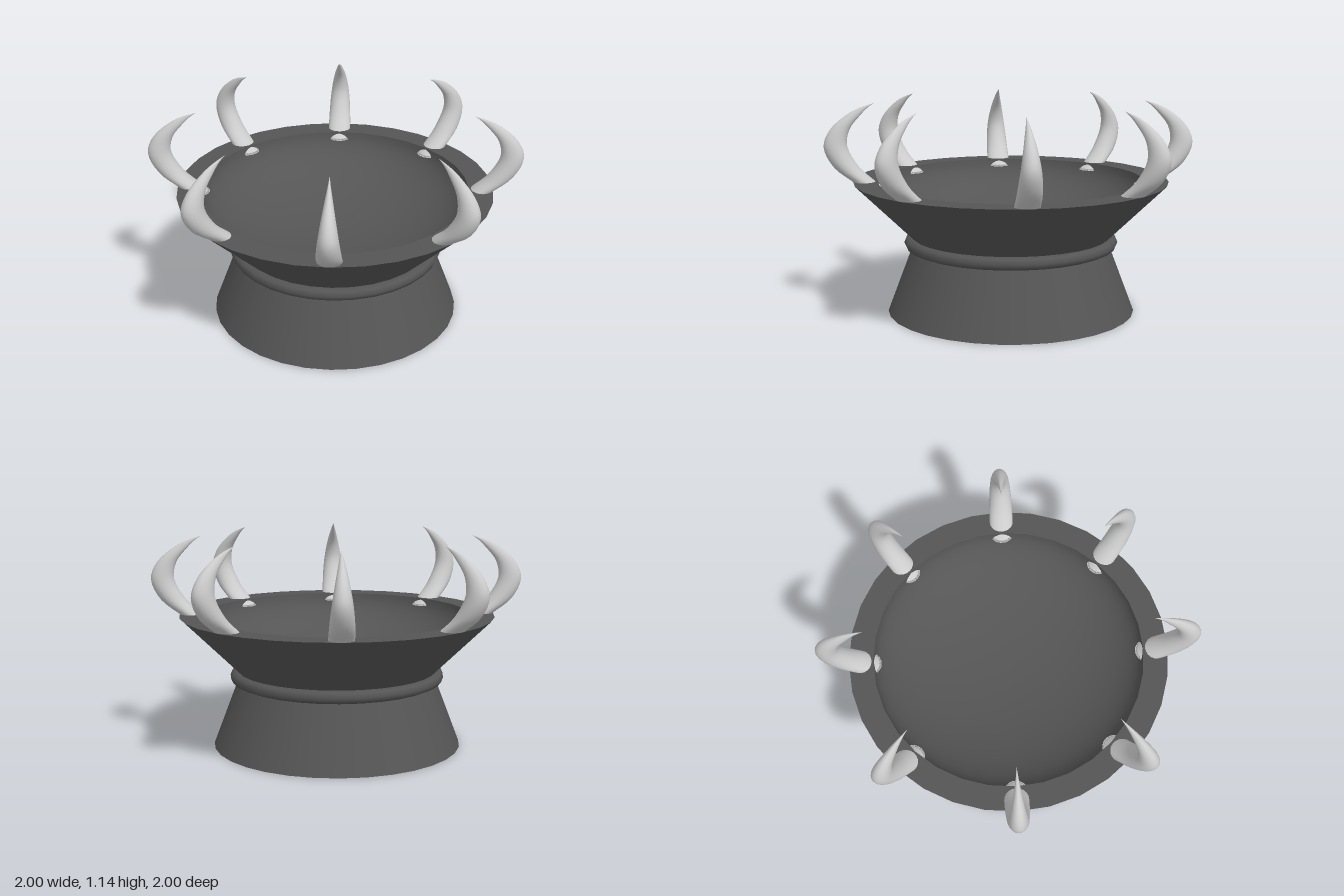
import * as THREE from 'three';

const SEGMENTS = 32;
const dark = new THREE.MeshStandardMaterial({ color: 0x555555 });
const grey = new THREE.MeshStandardMaterial({ color: 0xcccccc });

// Turned surface; separate calls keep the edges between them sharp
function turned(name, profile) {
  const points = profile.map(([r, y]) => new THREE.Vector2(r, y));
  const mesh = new THREE.Mesh(new THREE.LatheGeometry(points, SEGMENTS), dark);
  mesh.name = name;
  return mesh;
}

// Curved horn from level elliptical sections, leaning out and then back in
function hornGeometry(rows = 28, sides = 20) {
  // inner radius, outer radius, height
  const sections = [
    [0.68, 0.806, 0.68], [0.73, 0.85, 0.72], [0.815, 0.95, 0.80], [0.875, 1.0, 0.91],
    [0.862, 0.965, 1.0], [0.80, 0.875, 1.08], [0.765, 0.81, 1.115], [0.73, 0.732, 1.14],
  ];
  const spine = new THREE.CatmullRomCurve3(
    sections.map(([a, b, y]) => new THREE.Vector3((a + b) / 2, y, (b - a) / 2)));
  const positions = [], index = [];
  for (let i = 0; i <= rows; i++) {
    const p = spine.getPoint(i / rows);
    const u = Math.min(1, Math.max(0, (p.y - 0.68) / 0.46));
    const halfWidth = 0.064 * (1 - u ** 2.2) + 0.0005;
    for (let j = 0; j < sides; j++) {
      const t = (j / sides) * Math.PI * 2;
      positions.push(p.x + p.z * Math.cos(t), p.y, halfWidth * Math.sin(t));
      if (i === rows) continue;
      const a = i * sides + j, b = i * sides + (j + 1) % sides;
      index.push(a, a + sides, b, b, a + sides, b + sides);
    }
  }
  // close the foot
  for (let j = 1; j < sides - 1; j++) index.push(0, j, j + 1);
  const geometry = new THREE.BufferGeometry();
  geometry.setAttribute('position', new THREE.Float32BufferAttribute(positions, 3));
  geometry.setIndex(index);
  geometry.computeVertexNormals();
  return geometry;
}

export function createModel() {
  const model = new THREE.Group();
  model.name = 'hornedBrazier';

  // Flared pedestal
  model.add(turned('pedestalBottom', [[0, 0], [0.675, 0]]));
  model.add(turned('pedestalWall', [[0.675, 0], [0.53, 0.38]]));

  // Collar ring at the waist
  const collar = new THREE.Mesh(new THREE.TorusGeometry(0.547, 0.035, 8, SEGMENTS), dark);
  collar.name = 'collarRing';
  collar.rotation.x = Math.PI / 2;
  collar.position.y = 0.382;
  model.add(collar);

  // Cup wall, flat rim and hollow bowl
  model.add(turned('cupWall', [[0.51, 0.385], [0.85, 0.72]]));
  model.add(turned('rim', [[0.85, 0.72], [0.72, 0.72]]));
  const bowl = [];
  for (let i = 0; i <= 16; i++) {
    const a = (i / 16) * Math.PI / 2;
    bowl.push([0.72 * Math.cos(a), 0.72 - 0.3 * Math.sin(a)]);
  }
  model.add(turned('bowl', bowl));

  // Eight horns around the rim
  const horns = new THREE.Group();
  horns.name = 'horns';
  const geometry = hornGeometry();
  for (let i = 0; i < 8; i++) {
    const horn = new THREE.Mesh(geometry, grey);
    horn.name = 'horn';
    horn.rotation.y = (i * Math.PI) / 4;
    horns.add(horn);
  }
  model.add(horns);
  return model;
}
